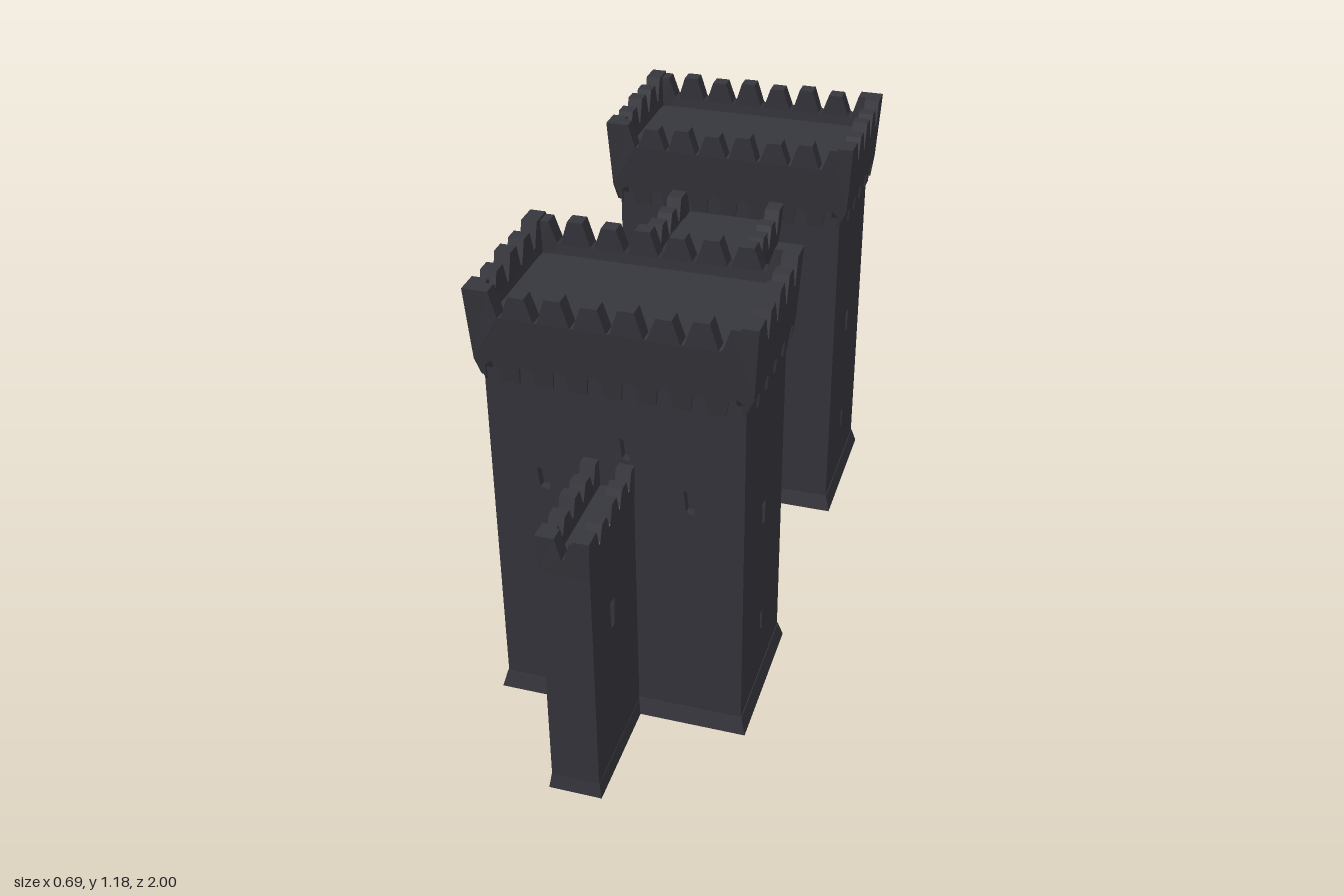
import * as THREE from 'three';

const stone = new THREE.MeshStandardMaterial({ color: 0x36363d });
stone.name = 'darkStone';

function mesh(name, geo, x = 0, y = 0, z = 0) {
  const m = new THREE.Mesh(geo, stone);
  m.name = name;
  m.position.set(x, y, z);
  return m;
}
const box = (name, w, h, d, x, y, z) => mesh(name, new THREE.BoxGeometry(w, h, d), x, y, z);
const poly = (pts) => pts.map(([x, y]) => new THREE.Vector2(x, y));

// Block whose bottom is wider than its top by "flare" on each side
function flaredBlock(name, w, h, d, flare, x, y, z) {
  const g = new THREE.BoxGeometry(w, h, d);
  const p = g.attributes.position;
  for (let i = 0; i < p.count; i++) {
    if (p.getY(i) < 0) {
      p.setX(i, p.getX(i) + Math.sign(p.getX(i)) * flare);
      p.setZ(i, p.getZ(i) + Math.sign(p.getZ(i)) * flare);
    }
  }
  g.computeVertexNormals();
  return mesh(name, g, x, y, z);
}

// Extrusion whose outer face lies at z = 0
function slab(shape, thick) {
  return new THREE.ExtrudeGeometry(shape, { depth: thick, bevelEnabled: false, curveSegments: 10 }).translate(0, 0, -thick);
}

// Parapet strip: toothed top, optional arched notches below with cut corners, leaning out upwards
function parapet(len, y0, yNotch, yTop, n, thick, arches, lean) {
  const s = len / n, pts = [], u = (t) => -len / 2 + t * s;
  pts.push([u(0), y0 + arches]);
  if (arches) {
    for (let i = 0; i < n; i++) {
      pts.push([u(i + 0.26), y0], [u(i + 0.3), y0 + arches * 0.75], [u(i + 0.5), y0 + arches],
        [u(i + 0.7), y0 + arches * 0.75], [u(i + 0.74), y0]);
    }
  }
  pts.push([u(n), y0 + arches]);
  for (let i = n - 1; i >= 0; i--) {
    const a = i === n - 1 ? 1 : 0.72, b = i === 0 ? 0 : 0.28;
    const h = yTop - 0.006 * (i % 2);
    if (i < n - 1) pts.push([u(i + 0.95), yNotch]);
    pts.push([u(i + a), h], [u(i + b), h]);
    if (i > 0) pts.push([u(i + 0.05), yNotch + 0.004]);
  }
  const g = slab(new THREE.Shape(poly(pts)), thick);
  const p = g.attributes.position;
  for (let i = 0; i < p.count; i++) {
    const f = Math.max(0, 1 - (p.getY(i) - y0) / (yNotch - y0)) * lean;
    p.setX(i, p.getX(i) * (1 - 2 * f / len));
    p.setZ(i, p.getZ(i) - f);
  }
  g.computeVertexNormals();
  return g;
}

// Wall facing with narrow slit openings [x, y, w, h]
function facing(w, h, slits, thick) {
  const s = new THREE.Shape(poly([[-w / 2, 0], [w / 2, 0], [w / 2, h], [-w / 2, h]]));
  for (const [x, y, a, b] of slits) {
    s.holes.push(new THREE.Path(poly([[x - a / 2, y + b / 2], [x + a / 2, y + b / 2 - 0.005],
      [x + a * 0.35, y - b / 2], [x - a * 0.3, y - b / 2 + 0.005]])));
  }
  return slab(s, thick);
}

// Place a geometry on one of four sides: 0 = +z, 1 = +x, 2 = -z, 3 = -x
function onSide(name, geo, side, dist) {
  const m = mesh(name, geo);
  m.rotation.y = side * Math.PI / 2;
  m.position.set([0, dist, 0, -dist][side], 0, [dist, 0, -dist, 0][side]);
  return m;
}

function tower(z) {
  const g = new THREE.Group();
  g.name = 'tower';
  const H = 1.05, hx = 0.312, hz = 0.188, t = 0.022;
  g.add(box('towerCore', 2 * (hx - t), H, 2 * (hz - t), 0, H / 2, 0));
  g.add(box('towerRoof', 0.62, 0.08, 0.35, 0, 1.05, 0));
  const flank = [[0, 0.55, 0.035, 0.07], [0, 0.21, 0.026, 0.06]];
  const front = [[-0.18, 0.68, 0.035, 0.06], [0.18, 0.68, 0.03, 0.065], [0.025, 0.8, 0.026, 0.06]];
  [front, flank, [], flank].forEach((slits, i) => {
    const along = i % 2 ? 2 * hz : 2 * (hx - t);
    g.add(onSide('towerFacing', facing(along, H, slits, t), i, i % 2 ? hx : hz));
    const len = i % 2 ? 0.42 : 0.685;
    g.add(onSide('towerParapet', parapet(len, 0.94, 1.115, 1.18, i % 2 ? 5 : 8, 0.04, 0.055, 0.016), i, i % 2 ? 0.3425 : 0.21));
  });
  g.add(flaredBlock('towerPlinth', 2 * hx + 0.004, 0.045, 2 * hz + 0.004, 0.012, 0, 0.0225, 0));
  g.position.z = z;
  return g;
}

function sideWall() {
  const g = new THREE.Group();
  g.name = 'sideWall';
  const H = 0.69, t = 0.018;
  g.add(box('sideWallCore', 0.12 - 2 * t, H, 0.31, 0, H / 2, 0.83));
  g.add(onSide('endFacing', facing(0.12, H, [], t), 0, 0.995));
  for (const side of [1, 3]) {
    const slit = [side === 1 ? -0.035 : 0.035, 0.46, 0.032, 0.08];
    const wall = onSide('sideWallFacing', facing(0.32, H, [slit], t), side, 0.06);
    const rim = onSide('sideWallParapet', parapet(0.34, 0.66, 0.715, 0.762, 5, 0.038, 0, 0.003), side, 0.063);
    wall.position.z = 0.825;
    rim.position.z = 0.83;
    g.add(wall, rim);
  }
  g.add(onSide('endParapet', parapet(0.126, 0.66, 0.705, 0.762, 2, 0.038, 0, 0.003), 0, 1));
  g.add(flaredBlock('sideWallPlinth', 0.122, 0.04, 0.33, 0.006, 0, 0.02, 0.83));
  g.position.x = -0.016;
  return g;
}

// Half of a pointed arch, from foot to crown or from crown to foot
function archUp(path, w, spring, peak) {
  path.lineTo(-w, 0);
  path.lineTo(-w, spring);
  path.quadraticCurveTo(-w * 0.95, peak - 0.07, 0, peak);
  path.quadraticCurveTo(w * 0.95, peak - 0.07, w, spring);
  path.lineTo(w, 0);
}
function archDown(path, w, spring, peak) {
  path.lineTo(w, 0);
  path.lineTo(w, spring);
  path.quadraticCurveTo(w * 0.95, peak - 0.07, 0, peak);
  path.quadraticCurveTo(-w * 0.95, peak - 0.07, -w, spring);
  path.lineTo(-w, 0);
}

// Gate wall whose arched opening widens towards the outside
function splayedWall() {
  const s = new THREE.Shape();
  s.moveTo(-0.31, 0);
  archUp(s, 0.195, 0.44, 0.65);
  s.lineTo(0.31, 0);
  s.lineTo(0.31, 0.93);
  s.lineTo(-0.31, 0.93);
  const g = slab(s, 0.06);
  const p = g.attributes.position;
  for (let i = 0; i < p.count; i++) {
    if (p.getZ(i) > -0.01 && Math.abs(p.getX(i)) < 0.2 && p.getY(i) < 0.66) {
      p.setX(i, p.getX(i) * 1.2);
      p.setY(i, p.getY(i) * 1.05);
    }
  }
  g.computeVertexNormals();
  return g;
}

// One gate front, built facing +z and then turned to +x
function gate() {
  const g = new THREE.Group();
  g.name = 'gateFront';
  g.add(mesh('archWall', splayedWall(), 0, 0, 0.14));

  // raised moulding round the arch
  const hood = new THREE.Shape();
  hood.moveTo(-0.26, 0);
  archUp(hood, 0.26, 0.44, 0.715);
  archDown(hood, 0.236, 0.44, 0.685);
  g.add(mesh('archMoulding', slab(hood, 0.02), 0, 0, 0.15));
  g.add(box('ledge', 0.6, 0.018, 0.012, 0, 0.835, 0.14));

  // double door with ring handles
  for (const s of [-1, 1]) {
    g.add(box('doorLeaf', 0.194, 0.47, 0.03, s * 0.099, 0.235, 0.075));
    g.add(mesh('doorHandle', new THREE.TorusGeometry(0.016, 0.005, 6, 12), s * 0.033, 0.195, 0.094));
    g.add(mesh('handleBoss', new THREE.SphereGeometry(0.009, 8, 6), s * 0.033, 0.212, 0.093));
  }

  // portcullis bars and spikes
  for (let i = -4; i <= 4; i++) {
    const x = i * 0.04, top = 0.64 - 0.03 * Math.abs(i) / 2;
    g.add(box('portcullisBar', 0.011, top - 0.46, 0.012, x, (top + 0.46) / 2, 0.094));
    const spike = mesh('portcullisSpike', new THREE.ConeGeometry(0.012, 0.05, 4), x, 0.45, 0.096);
    spike.rotation.x = Math.PI;
    g.add(spike);
  }
  [0.48, 0.52, 0.56, 0.6].forEach((y, i) =>
    g.add(box('portcullisCrossbar', 0.39 - 0.06 * i, 0.011, 0.012, 0, y, 0.098)));

  g.add(mesh('gateParapet', parapet(0.6, 0.88, 0.94, 1.0, 7, 0.04, 0, 0.012), 0, 0, 0.158));
  g.rotation.y = Math.PI / 2;
  return g;
}

export function createModel() {
  const root = new THREE.Group();
  root.name = 'castleGate';
  root.add(box('gateCore', 0.13, 0.92, 0.62, 0, 0.46, 0));
  root.add(box('gateWalk', 0.26, 0.03, 0.62, 0, 0.92, 0));
  root.add(box('threshold', 0.27, 0.008, 0.62, 0, 0.004, 0));
  // the two halves match under a half turn
  [0.498, 0.487].forEach((z, i) => {
    const half = new THREE.Group();
    half.name = i ? 'backHalf' : 'frontHalf';
    half.add(tower(z), sideWall(), gate());
    half.rotation.y = i * Math.PI;
    root.add(half);
  });
  return root;
}
